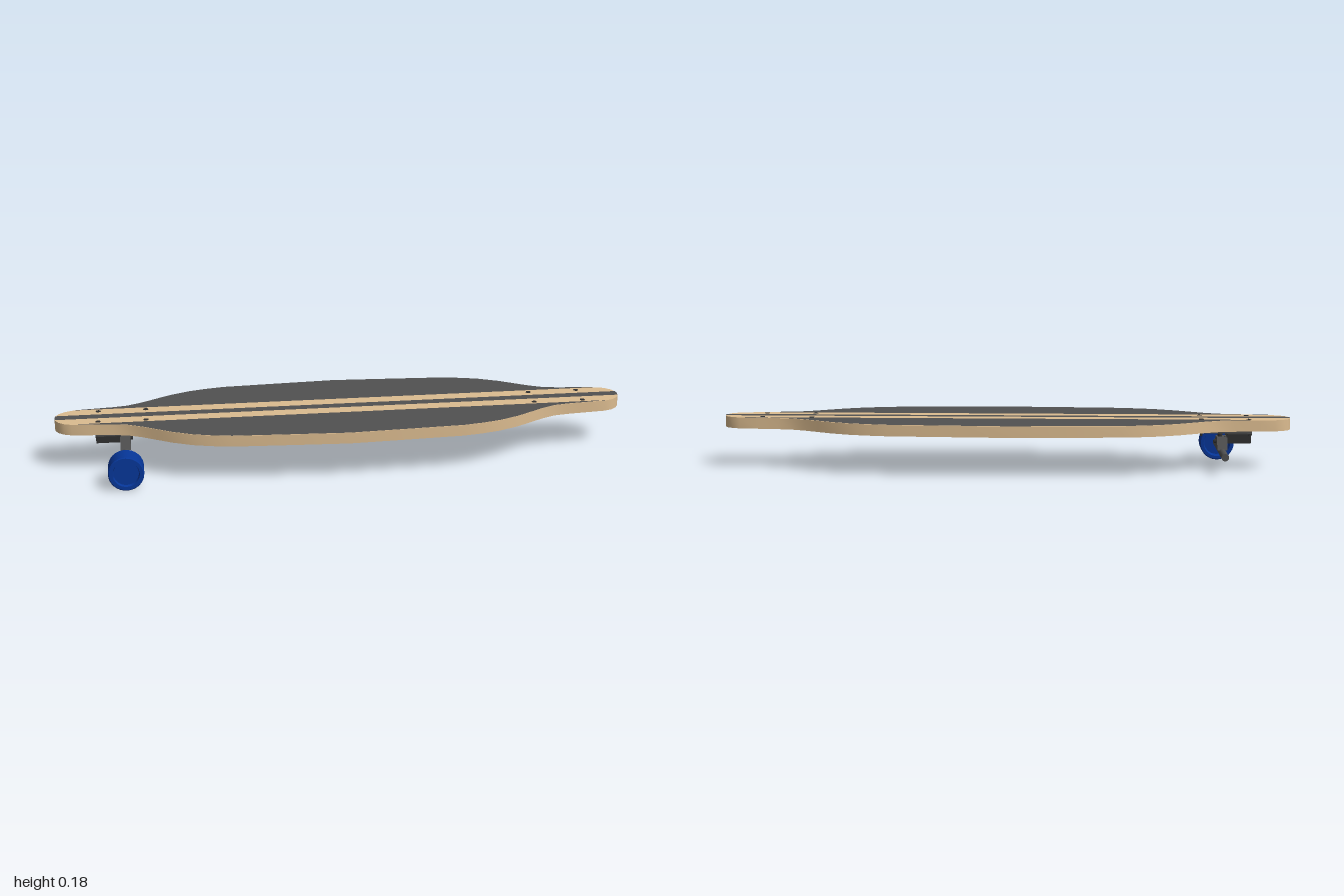
import * as THREE from 'three';
import { toCreasedNormals } from 'three/addons/utils/BufferGeometryUtils.js';

// Half outline of the deck: [distance from the middle, half width]
const OUTLINE = [[0, 0.253], [0.2, 0.243], [0.4, 0.232], [0.47, 0.219], [0.53, 0.203], [0.6, 0.172],
  [0.65, 0.142], [0.7, 0.112], [0.75, 0.089], [0.8, 0.08], [0.87, 0.073], [0.94, 0.066],
  [0.967, 0.056], [0.986, 0.04], [0.997, 0.02], [1, 0]];
const TOP = 0.179, BOTTOM = 0.14, TRUCK_X = -0.76, AXLE_Y = 0.062;
const SKEW = 0.24; // slant of the painted panels

function halfWidth(x) {
  const d = Math.min(Math.abs(x), 1);
  for (let i = 1; i < OUTLINE.length; i++) {
    const [x0, w0] = OUTLINE[i - 1], [x1, w1] = OUTLINE[i];
    if (d <= x1) return w0 + (w1 - w0) * (d - x0) / (x1 - x0);
  }
  return 0;
}

// Outline stations along x between two ends
function stations(x0, x1) {
  const inner = OUTLINE.flatMap(([x]) => (x ? [x, -x] : [0])).filter((x) => x > x0 && x < x1);
  return [x0, ...inner, x1].sort((a, b) => a - b);
}

// Flat upward skin along x, with z limits given by a rule
function skin(x0, x1, limits) {
  const pos = [], idx = [];
  stations(x0, x1).forEach((x, i) => {
    const [lo, hi] = limits(halfWidth(x));
    pos.push(x, 0, lo, x, 0, hi);
    if (i) {
      const a = 2 * i - 2;
      idx.push(a, a + 1, a + 2, a + 1, a + 3, a + 2);
    }
  });
  const g = new THREE.BufferGeometry();
  g.setAttribute('position', new THREE.Float32BufferAttribute(pos, 3));
  g.setIndex(idx);
  g.computeVertexNormals();
  return g;
}

// Downward panel across the deck between two slanted lines
function slantedPanel(c0, c1) {
  const meetEdge = (c, side) => {
    let x = c;
    for (let i = 0; i < 12; i++) x = c - SKEW * side * halfWidth(x);
    return x;
  };
  const edge = (side) => stations(meetEdge(c0, side), meetEdge(c1, side))
    .map((x) => new THREE.Vector2(x, side * halfWidth(x)));
  const near = edge(-1), far = edge(1).reverse();
  if (c0 === -1) far.pop();
  return new THREE.ShapeGeometry(new THREE.Shape([...near, ...far])).rotateX(Math.PI / 2);
}

export function createModel() {
  const model = new THREE.Group();
  model.name = 'longboard';
  const mat = (name, color) => {
    const m = new THREE.MeshStandardMaterial({ color });
    m.name = name;
    return m;
  };
  const wood = mat('wood', 0xdcbc90), grip = mat('grip', 0x515151), green = mat('green', 0x4e946e);
  const orange = mat('orange', 0xc8560c), metal = mat('metal', 0x505050), dark = mat('dark', 0x303030);
  const blue = mat('blue', 0x063698);

  const add = (parent, name, geometry, material, x = 0, y = 0, z = 0) => {
    const m = new THREE.Mesh(geometry, material);
    m.name = name;
    m.position.set(x, y, z);
    parent.add(m);
    return m;
  };

  // Deck board
  const deck = new THREE.Group();
  deck.name = 'deck';
  model.add(deck);
  const pts = [];
  for (const [sx, sz] of [[1, 1], [-1, 1], [-1, -1], [1, -1]]) {
    const q = OUTLINE.map(([x, w]) => new THREE.Vector2(sx * x, sz * w));
    if (sx * sz > 0) q.reverse();
    pts.push(...q.slice(0, -1));
  }
  const board = new THREE.ExtrudeGeometry(new THREE.Shape(pts), { depth: TOP - BOTTOM, bevelEnabled: false });
  board.rotateX(Math.PI / 2);
  add(deck, 'board', toCreasedNormals(board, 0.6), wood, 0, TOP);

  // Grip skins: two wide sides and a thin middle stripe
  const yGrip = TOP + 0.001;
  add(deck, 'gripLeft', skin(-0.94, 0.94, (w) => [Math.min(0.065, w), w]), grip, 0, yGrip);
  add(deck, 'gripRight', skin(-0.94, 0.94, (w) => [-w, -Math.min(0.065, w)]), grip, 0, yGrip);
  add(deck, 'gripStripe', skin(-1, 1, (w) => [-Math.min(0.018, w), Math.min(0.018, w)]), grip, 0, yGrip);

  // Painted panels underneath
  const panels = [['orangePanel', -1, -0.56, orange], ['darkBand', -0.56, -0.485, grip], ['greenPanel', -0.485, 0.25, green]];
  for (const [name, a, b, m] of panels) add(deck, name, slantedPanel(a, b), m, 0, BOTTOM - 0.001);

  // Flush bolt heads on top
  const bolt = new THREE.CylinderGeometry(0.009, 0.009, 0.002, 8);
  for (const x of [-0.85, -0.685, 0.685, 0.86])
    for (const z of [-0.048, 0.048]) add(deck, 'deckBolt', bolt, dark, x, TOP + 0.0003, z);

  // Truck
  const truck = new THREE.Group();
  truck.name = 'truck';
  model.add(truck);
  add(truck, 'basePlate', new THREE.BoxGeometry(0.205, 0.008, 0.13), metal, -0.757, 0.135, 0);
  for (const s of [-1, 1]) {
    add(truck, 'bracketWall', new THREE.BoxGeometry(0.085, 0.037, 0.005), dark, -0.818, 0.1095, s * 0.027);
    add(truck, 'bracketFoot', new THREE.BoxGeometry(0.085, 0.003, 0.038), dark, -0.818, 0.1265, s * 0.044);
    for (const x of [-0.853, -0.685])
      add(truck, 'plateNut', new THREE.CylinderGeometry(0.005, 0.005, 0.009, 6), dark, x, 0.1265, s * 0.055);
  }

  // Hanger: tapered block around the axle
  const hangerShape = new THREE.Shape([[-0.055, 0.07], [0.055, 0.07], [0.033, 0.112], [-0.033, 0.112]]
    .map(([z, y]) => new THREE.Vector2(z, y)));
  const hanger = new THREE.ExtrudeGeometry(hangerShape, { depth: 0.036, bevelEnabled: false });
  hanger.translate(0, 0, -0.018).rotateY(Math.PI / 2);
  add(truck, 'hanger', hanger, metal, TRUCK_X);
  add(truck, 'kingpin', new THREE.CylinderGeometry(0.008, 0.008, 0.04, 12), dark, -0.755, 0.115, 0);
  const nut = add(truck, 'kingpinNut', new THREE.CylinderGeometry(0.008, 0.008, 0.01, 6), dark, -0.739, 0.095, 0);
  nut.rotation.z = Math.PI / 2;
  const pin = add(truck, 'pivotPin', new THREE.CylinderGeometry(0.008, 0.008, 0.08, 12), dark, -0.81, 0.105, 0);
  pin.rotation.z = Math.PI / 2;
  const axle = add(truck, 'axle', new THREE.CylinderGeometry(0.013, 0.013, 0.365, 20), metal, TRUCK_X, AXLE_Y, 0.0175);
  axle.rotation.x = Math.PI / 2;

  // Wheel: deep recess behind, shallow closed face in front
  const profile = [[0.012, -0.012], [0.044, -0.012], [0.048, -0.036], [0.058, -0.036], [0.061, -0.033],
    [0.061, 0.033], [0.058, 0.036], [0.046, 0.036], [0.043, 0.026], [0, 0.026]]
    .map(([r, y]) => new THREE.Vector2(r, y));
  const tyre = toCreasedNormals(new THREE.LatheGeometry(profile, 32), 0.5);
  tyre.rotateX(Math.PI / 2);
  add(model, 'wheel', tyre, blue, TRUCK_X, 0.061, 0.206);

  return model;
}
